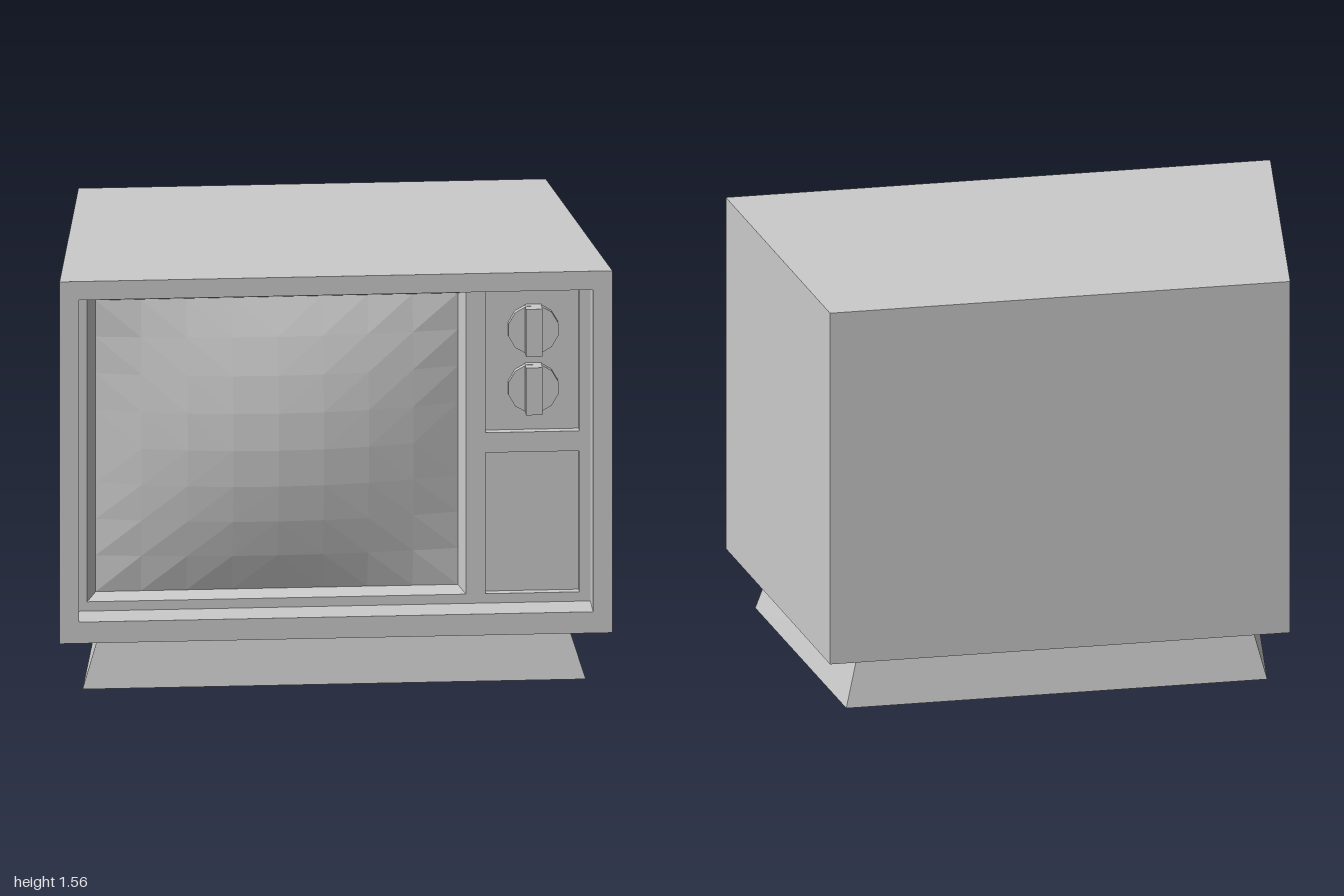
import * as THREE from 'three';

const material = new THREE.MeshStandardMaterial({ color: 0xcccccc, flatShading: true });

function addMesh(parent, name, geometry) {
  const mesh = new THREE.Mesh(geometry, material);
  mesh.name = name;
  parent.add(mesh);
  return mesh;
}

function facets(positions) {
  const geometry = new THREE.BufferGeometry();
  geometry.setAttribute('position', new THREE.Float32BufferAttribute(positions, 3));
  geometry.computeVertexNormals();
  return geometry;
}

// Upright rectangle at depth z, counter-clockwise seen from the front
const upright = ([x0, x1, y0, y1], z) => [[x0, y0, z], [x1, y0, z], [x1, y1, z], [x0, y1, z]];

// Skin through four-cornered rings, with optional end caps
function loft(rings, capStart, capEnd) {
  const out = [];
  const quad = (a, b, c, d) => out.push(...a, ...b, ...c, ...a, ...c, ...d);
  for (let r = 0; r < rings.length - 1; r++) {
    const a = rings[r], b = rings[r + 1];
    for (let i = 0; i < 4; i++) {
      const j = (i + 1) % 4;
      quad(a[i], a[j], b[j], b[i]);
    }
  }
  if (capStart) quad(...[...rings[0]].reverse());
  if (capEnd) quad(...rings[rings.length - 1]);
  return facets(out);
}

// Shallow dome on an 8 x 8 grid, diagonals running out from the centre
function screenGeometry([x0, x1, y0, y1], z, bulge) {
  const n = 8, out = [];
  const point = (i, j) => {
    const u = (2 * i) / n - 1, v = (2 * j) / n - 1;
    return [x0 + ((x1 - x0) * i) / n, y0 + ((y1 - y0) * j) / n,
      z + bulge * (1 - u * u) * (1 - v * v)];
  };
  for (let i = 0; i < n; i++) {
    for (let j = 0; j < n; j++) {
      const a = point(i, j), b = point(i + 1, j), c = point(i + 1, j + 1), d = point(i, j + 1);
      if ((i < n / 2) === (j < n / 2)) out.push(...a, ...b, ...c, ...a, ...c, ...d);
      else out.push(...a, ...b, ...d, ...b, ...c, ...d);
    }
  }
  return facets(out);
}

export function createModel() {
  const model = new THREE.Group();
  model.name = 'television';

  const opening = [-0.93, 0.93, 0.28, 1.49];
  const screenHole = [-0.89, 0.48, 0.315, 1.45];
  const screenEdge = [-0.855, 0.455, 0.335, 1.43];
  const controlWell = [0.55, 0.89, 0.92, 1.45];
  const speakerWell = [0.55, 0.89, 0.315, 0.845];
  const faceZ = 0.46, wellZ = 0.425, screenZ = 0.4;

  // Cabinet narrowing to the back, with front rim and recess walls
  addMesh(model, 'cabinet', loft([
    upright([-0.845, 0.845, 0.2, 1.56], -0.6),
    upright([-1, 1, 0.2, 1.56], 0.6),
    upright(opening, 0.6),
    upright(opening, faceZ),
  ], true, false));

  // Front panel with cut-outs for the screen and both wells
  const path = (rect, target) =>
    target.setFromPoints(upright(rect, 0).map(([x, y]) => new THREE.Vector2(x, y)));
  const panel = path(opening, new THREE.Shape());
  for (const rect of [screenHole, controlWell, speakerWell]) {
    panel.holes.push(path(rect, new THREE.Path()));
  }
  addMesh(model, 'frontPanel', new THREE.ShapeGeometry(panel)).position.z = faceZ;

  // Tapered screen surround and bulging screen
  addMesh(model, 'screenSurround',
    loft([upright(screenHole, faceZ), upright(screenEdge, screenZ)], false, false));
  addMesh(model, 'screen', screenGeometry(screenEdge, screenZ, 0.11));

  // Sunken panels beside the screen
  for (const [name, rect] of [['controlPanel', controlWell], ['speakerPanel', speakerWell]]) {
    addMesh(model, name, loft([upright(rect, faceZ), upright(rect, wellZ)], false, true));
  }

  // Twelve-sided knobs, each with an upright grip
  for (const [name, y] of [['upperKnob', 1.3], ['lowerKnob', 1.08]]) {
    const knob = new THREE.Group();
    knob.name = name;
    knob.position.set(0.725, y, wellZ);
    const disc = new THREE.CylinderGeometry(0.093, 0.093, 0.025, 12);
    disc.rotateY(Math.PI / 12).rotateX(Math.PI / 2).translate(0, 0, 0.0125);
    addMesh(knob, 'knobDisc', disc);
    addMesh(knob, 'knobGrip', new THREE.BoxGeometry(0.06, 0.178, 0.065).translate(0, 0, 0.0325));
    model.add(knob);
  }

  // Flared base, narrower at the back like the cabinet
  const flat = (front, back, zFront, zBack, y) =>
    [[-front, y, zFront], [front, y, zFront], [back, y, zBack], [-back, y, zBack]];
  addMesh(model, 'base', loft([
    flat(0.91, 0.773, 0.505, -0.535, 0),
    flat(0.847, 0.722, 0.47, -0.495, 0.2),
  ], true, true));

  return model;
}
